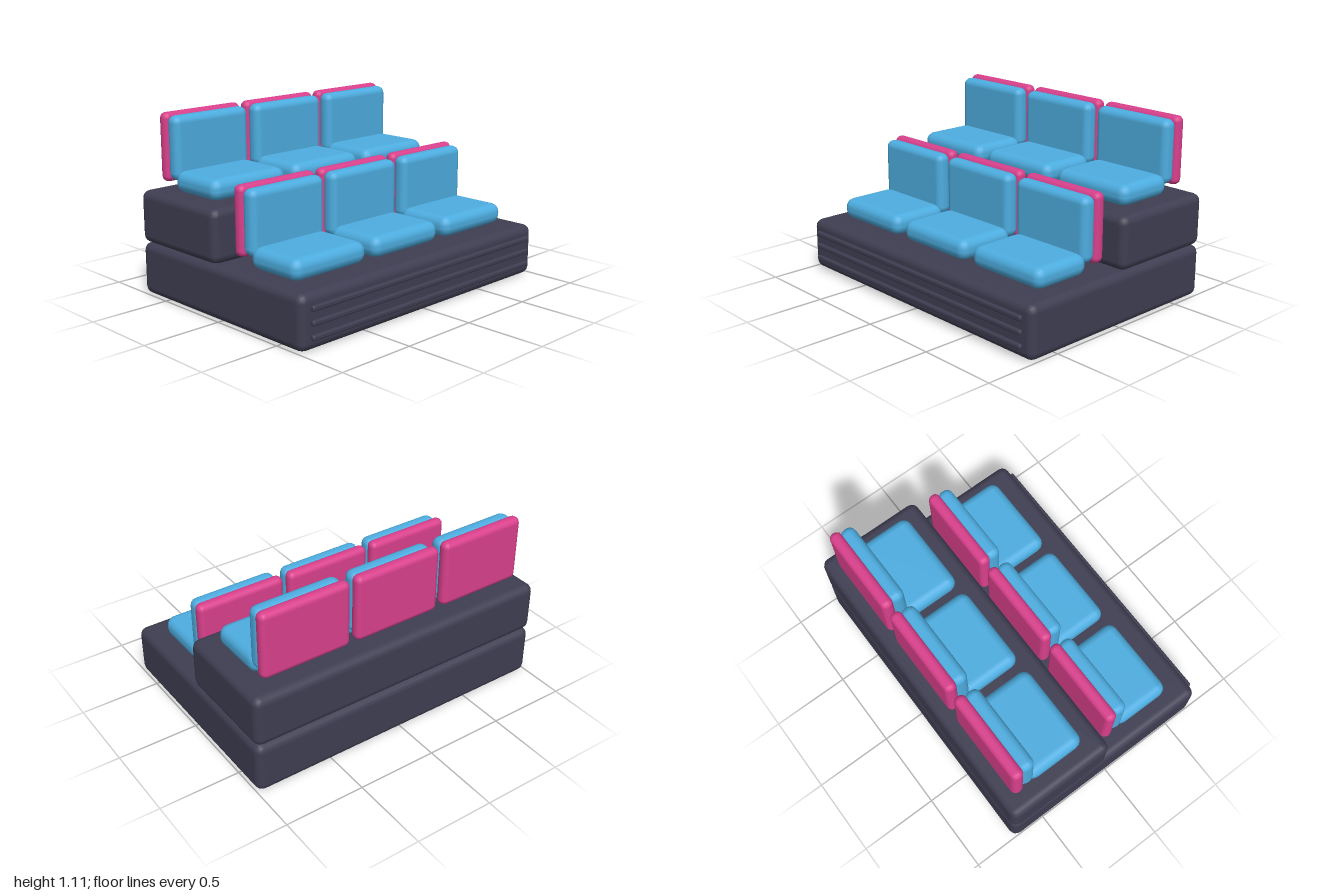
import * as THREE from 'three';
import { RoundedBoxGeometry } from 'three/addons/geometries/RoundedBoxGeometry.js';

const material = (name, color) => {
  const m = new THREE.MeshStandardMaterial({ color });
  m.name = name;
  return m;
};

// Rounded block given by its extents along each axis
function block(name, mat, [x0, x1], [y0, y1], [z0, z1], radius, segments = 2) {
  const geometry = new RoundedBoxGeometry(x1 - x0, y1 - y0, z1 - z0, segments, radius);
  const mesh = new THREE.Mesh(geometry, mat);
  mesh.name = name;
  mesh.position.set((x0 + x1) / 2, (y0 + y1) / 2, (z0 + z1) / 2);
  return mesh;
}

export function createModel() {
  const dark = material('dark slate', 0x3f3e52);
  const blue = material('cushion blue', 0x4dadE0);
  const pink = material('shell pink', 0xd9408c);
  const model = new THREE.Group();
  model.name = 'tieredSeating';

  // Two stepped platforms
  model.add(
    block('lowerPlatform', dark, [-1, 1], [0, 0.323], [-0.723, 0.697], 0.05),
    block('upperPlatform', dark, [-1, 1], [0.323, 0.645], [-0.723, -0.015], 0.05)
  );

  // Horizontal trim strips on the front face
  for (const y of [0.081, 0.163, 0.245]) {
    model.add(block('trimStrip', dark, [-0.935, 0.935], [y - 0.016, y + 0.016], [0.695, 0.723], 0.011));
  }

  // One seat: cushion, padded back and outer shell
  function createSeat() {
    const seat = new THREE.Group();
    seat.name = 'seat';
    const w = 0.277;
    seat.add(
      block('seatCushion', blue, [-w, w], [0, 0.13], [0.147, 0.537], 0.058),
      block('backCushion', blue, [-w, w], [0.064, 0.453], [0.088, 0.188], 0.045),
      block('backShell', pink, [-0.287, 0.287], [0.049, 0.466], [0.027, 0.104], 0.036)
    );
    return seat;
  }

  // Two rows of three seats
  for (const [name, y, z] of [['frontRow', 0.323, 0], ['backRow', 0.645, -0.677]]) {
    const row = new THREE.Group();
    row.name = name;
    row.position.set(0, y, z);
    for (const x of [-0.613, 0, 0.613]) {
      const seat = createSeat();
      seat.position.x = x;
      row.add(seat);
    }
    model.add(row);
  }
  return model;
}
